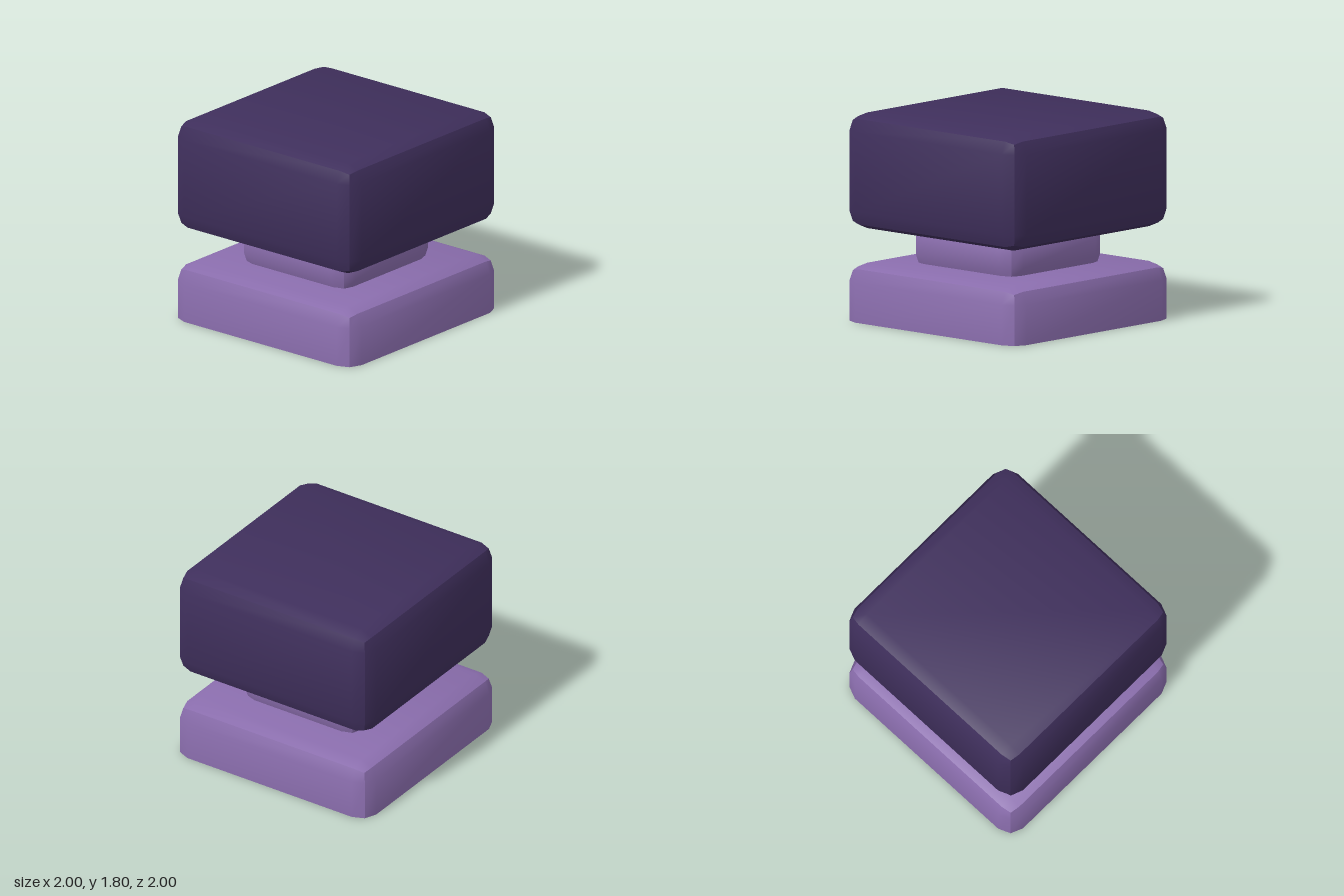
import * as THREE from 'three';
import { RoundedBoxGeometry } from 'three/addons/geometries/RoundedBoxGeometry.js';
import { toCreasedNormals } from 'three/addons/utils/BufferGeometryUtils.js';

const BEVEL = 0.15;
const CREASE = 0.6;

// Two-facet rounded block spanning bottom..top, with its corners creased
function block(width, bottom, top) {
  const geo = new RoundedBoxGeometry(width, top - bottom, width, 1, BEVEL);
  geo.translate(0, (top + bottom) / 2, 0);
  return geo;
}

// Drops the lower bevel and floor, leaving straight walls that end open at y = 0
function openBelow(geo, bottom) {
  const p = geo.attributes.position;
  const limit = bottom + BEVEL - 0.01;
  const kept = [];
  for (let i = 0; i < p.count; i += 3) {
    const tri = [i, i + 1, i + 2];
    if (tri.some((k) => p.getY(k) < limit)) continue;
    for (const k of tri) kept.push(p.getX(k), Math.max(0, p.getY(k)), p.getZ(k));
  }
  const open = new THREE.BufferGeometry();
  open.setAttribute('position', new THREE.Float32BufferAttribute(kept, 3));
  return open;
}

export function createModel() {
  const group = new THREE.Group();
  group.name = 'stackedBlocks';

  const lightPurple = new THREE.MeshStandardMaterial({ color: 0x8a6dad, side: THREE.DoubleSide });
  lightPurple.name = 'light purple';
  const darkPurple = new THREE.MeshStandardMaterial({ color: 0x3f2f5c });
  darkPurple.name = 'dark purple';

  const add = (name, geo, material) => {
    const mesh = new THREE.Mesh(toCreasedNormals(geo, CREASE), material);
    mesh.name = name;
    group.add(mesh);
  };

  // Hollow base, open underneath
  add('base', openBelow(block(2, -0.5, 0.5), -0.5), lightPurple);
  // Narrow neck sunk into both blocks
  add('neck', block(1.2, 0.42, 0.87), lightPurple);
  // Large cap block
  add('cap', block(2, 0.8, 1.8), darkPurple);

  return group;
}
